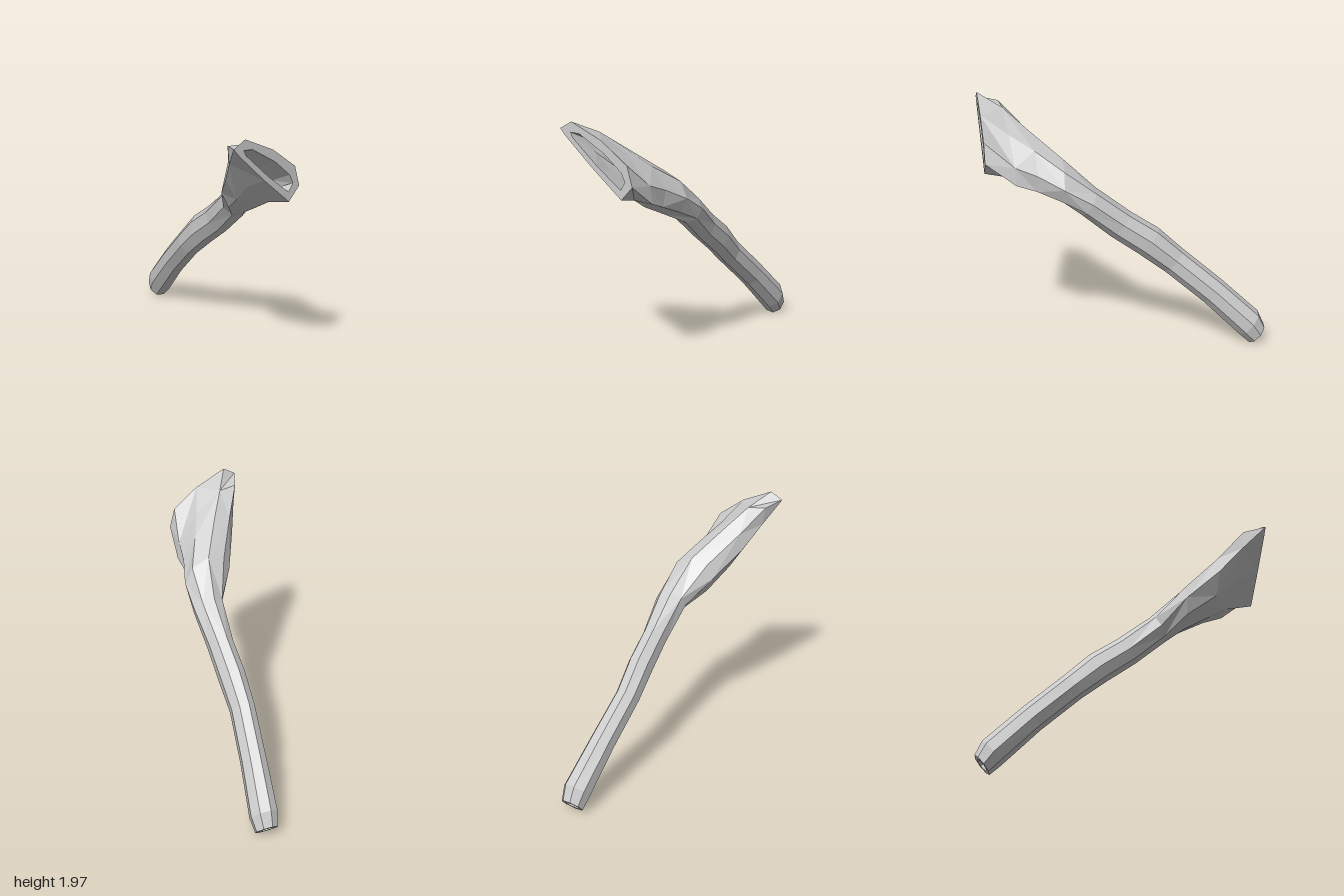
import * as THREE from 'three';

const SIDES = 8;

// Cross-section: centre plus two half-axis vectors, cut into an eight-sided loop
function ring(c, a, b, sa = 1, sb = sa) {
  const pts = [];
  for (let j = 0; j < SIDES; j++) {
    const t = (j / SIDES) * Math.PI * 2;
    const ca = Math.cos(t) * sa, cb = Math.sin(t) * sb;
    pts.push(new THREE.Vector3(
      c[0] + a[0] * ca + b[0] * cb,
      c[1] + a[1] * ca + b[1] * cb,
      c[2] + a[2] * ca + b[2] * cb));
  }
  return pts;
}

// Stem cross-section square to its run, with upper and sideways radii
const UP = [-0.68, 0.73, 0], SIDE = [-0.19, -0.2, 0.96];
function stemRing(x, y, z, rUp, rSide = rUp) {
  const mix = (s) => UP.map((u, i) => (u * rUp + s * SIDE[i] * rSide) * Math.SQRT1_2);
  return ring([x, y, z], mix(1), mix(-1));
}

// Loop of [z, y] points lying in the slanted plane of the mouth
const mouthLoop = (zy) => zy.map(([z, y]) => new THREE.Vector3(1 - (z - 0.15) * 0.3, y, z));

// Skin a list of loops with triangles
function loft(rings) {
  const pos = [];
  const tri = (...ps) => ps.forEach((p) => pos.push(p.x, p.y, p.z));
  for (let i = 0; i < rings.length - 1; i++) {
    for (let j = 0; j < SIDES; j++) {
      const k = (j + 1) % SIDES;
      const p = rings[i][j], q = rings[i][k], r = rings[i + 1][j], s = rings[i + 1][k];
      if ((i + j) % 2) { tri(p, r, q); tri(q, r, s); }
      else { tri(p, r, s); tri(p, s, q); }
    }
  }
  const g = new THREE.BufferGeometry();
  g.setAttribute('position', new THREE.Float32BufferAttribute(pos, 3));
  g.computeVertexNormals();
  return g;
}

export function createModel() {
  const grey = new THREE.MeshStandardMaterial({ color: 0xcccccc, flatShading: true, side: THREE.DoubleSide });
  grey.name = 'pale grey';
  const model = new THREE.Group();
  model.name = 'flaredHorn';
  const add = (name, rings) => {
    const mesh = new THREE.Mesh(loft(rings), grey);
    mesh.name = name;
    model.add(mesh);
  };

  // Stem, from the narrow end upward
  const stem = [
    stemRing(-0.932, 0.073, -0.61, 0.093, 0.088),
    stemRing(-0.87, 0.17, -0.585, 0.118, 0.108),
    stemRing(-0.61, 0.45, -0.445, 0.112, 0.098),
    stemRing(-0.34, 0.71, -0.305, 0.112, 0.094),
    stemRing(-0.15, 0.885, -0.24, 0.125, 0.1),
    stemRing(0.05, 1.035, -0.17, 0.12, 0.097),
  ];

  // Flare: centre, long half-axis, short half-axis
  const flare = [
    [[0.28, 1.235, -0.085], [-0.06, 0.06, 0.09], [-0.03, 0.075, -0.08]],
    [[0.44, 1.39, 0.05], [-0.05, 0.13, 0.13], [0.03, 0.1, -0.125]],
    [[0.61, 1.53, 0.21], [-0.04, 0.19, 0.195], [0.02, 0.1, -0.115]],
    [[0.75, 1.65, 0.32], [-0.05, 0.25, 0.265], [0.02, 0.085, -0.085]],
  ];
  const mouth = mouthLoop([
    [0.7, 1.925], [0.61, 1.98], [0.38, 1.87], [0.19, 1.72],
    [0.15, 1.57], [0.235, 1.468], [0.45, 1.665], [0.66, 1.875],
  ]);
  add('hornShell', [...stem, ...flare.map((f) => ring(...f)), mouth]);

  // Mouth: flat rim, then a hollow tapering back into the flare
  const opening = mouthLoop([
    [0.62, 1.905], [0.55, 1.9], [0.36, 1.78], [0.235, 1.665],
    [0.205, 1.6], [0.24, 1.54], [0.42, 1.69], [0.6, 1.865],
  ]);
  const inner = (i, sa, sb) => ring(...flare[i], sa, sb);
  add('mouthRim', [mouth, opening]);
  add('mouthHollow', [opening, inner(3, 0.65, 0.55), inner(2, 0.5, 0.45), inner(1, 0, 0)]);

  // Small recess in the narrow end
  add('narrowEnd', [
    stemRing(-0.86, 0.15, -0.58, 0),
    stemRing(-0.88, 0.13, -0.588, 0.045),
    stemRing(-0.932, 0.073, -0.61, 0.058),
    stem[0],
  ]);
  return model;
}
